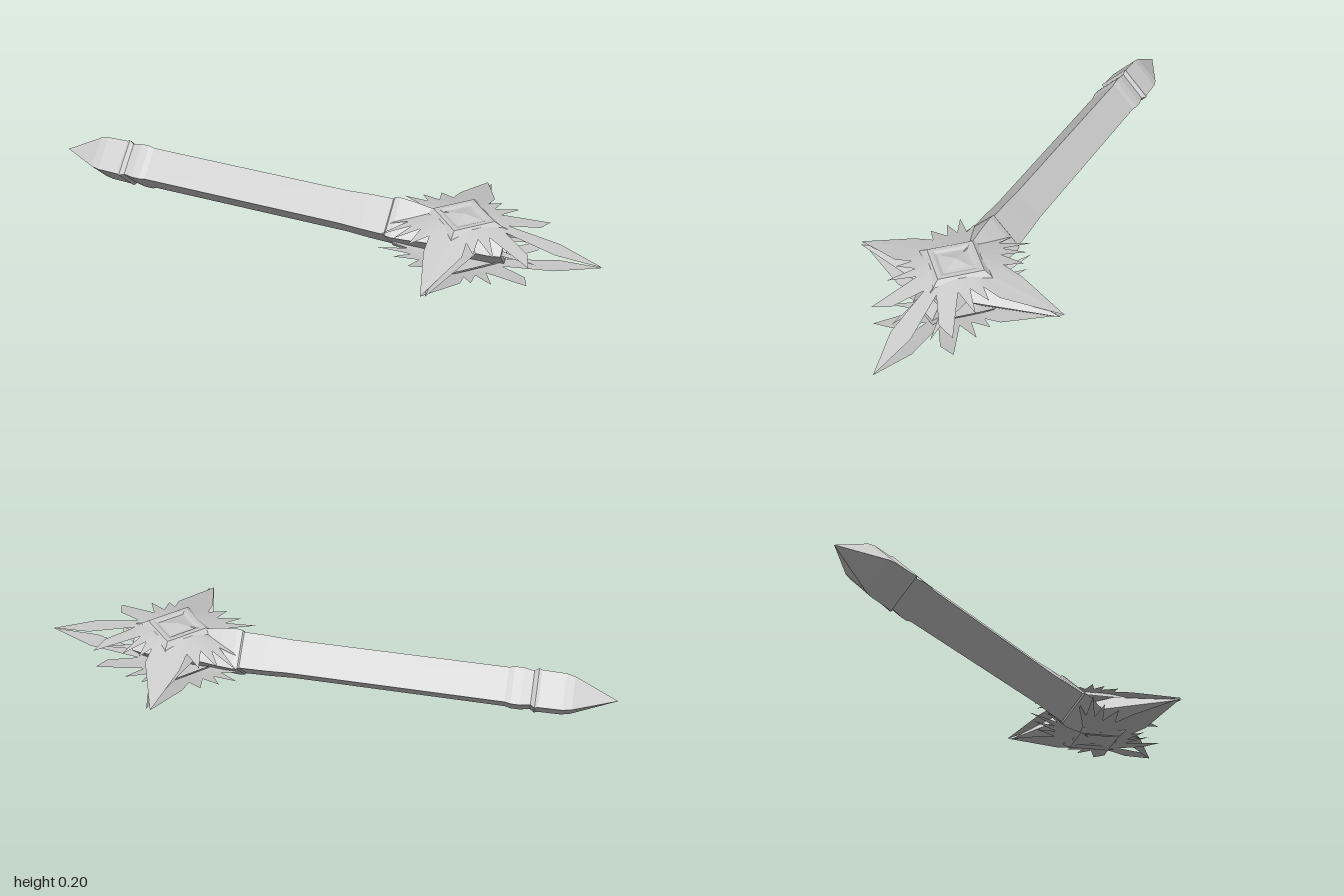
import * as THREE from 'three';

const steel = new THREE.MeshStandardMaterial({ color: 0xcccccc, flatShading: true, side: THREE.DoubleSide });
steel.name = 'pale steel';
const CX = 0.53; // centre of the starburst along the handle

function add(parent, name, geometry) {
  const mesh = new THREE.Mesh(geometry, steel);
  mesh.name = name;
  parent.add(mesh);
  return mesh;
}

// Four-sided lathe; profile is [radius, height]
const diamondLathe = (profile) =>
  new THREE.LatheGeometry(profile.map(([r, h]) => new THREE.Vector2(r, h)), 4);

// Half outline of the starburst, [x, z], from the long tip back to the handle
const halfStar = [
  [1, 0], [0.85, 0.035], [0.68, 0.022], [0.77, 0.085], [0.79, 0.145], [0.64, 0.075],
  [0.68, 0.16], [0.61, 0.1], [0.615, 0.17], [0.58, 0.13], [0.585, 0.19], [0.51, 0.375],
  [0.46, 0.2], [0.455, 0.13], [0.4, 0.175], [0.415, 0.1], [0.34, 0.15], [0.38, 0.085],
  [0.28, 0.135], [0.36, 0.06], [0.3, 0.07], [0.37, 0.0],
];

// Thin star: flat in the middle, arms sloping down to the middle plane
function starGeometry() {
  const outline = [...halfStar, ...halfStar.slice(1, -1).reverse().map(([x, z]) => [x, -z])];
  const pos = [CX, 0.08, 0];
  const index = [];
  const n = outline.length;
  for (const [x, z] of outline) {
    const dx = x - CX;
    const r = Math.hypot(dx, z);
    const reach = 0.37 + 0.1 * Math.max(0, dx / r);
    const k = Math.min(1, 0.085 / r);
    const y = 0.08 * Math.max(0, Math.min(1, 1 - (r - 0.085) / (reach - 0.085)));
    pos.push(CX + dx * k, 0.08, z * k, x, y, z);
  }
  for (let i = 0; i < n; i++) {
    const a = 1 + 2 * i, b = 1 + 2 * ((i + 1) % n);
    index.push(0, b, a, a, b, a + 1, b, b + 1, a + 1);
  }
  const g = new THREE.BufferGeometry();
  g.setAttribute('position', new THREE.Float32BufferAttribute(pos, 3));
  g.setIndex(index);
  g.computeVertexNormals();
  return g;
}

export function createModel() {
  const model = new THREE.Group();
  model.name = 'starMace';
  model.position.y = 0.1;

  // Handle with pointed pommel, rings and a recessed far end
  const handle = diamondLathe([
    [0, -1], [0.08, -0.85], [0.088, -0.82], [0.09, -0.74], [0.095, -0.73], [0.082, -0.715],
    [0.09, -0.68], [0.09, -0.65], [0.084, -0.63], [0.083, 0.12], [0.088, 0.2], [0.09, 0.285],
    [0.097, 0.29], [0.1, 0.31], [0.095, 0.36], [0.085, 0.42], [0.078, 0.64], [0.068, 0.68],
    [0.05, 0.68], [0, 0.6],
  ]);
  handle.rotateZ(-Math.PI / 2);
  add(model, 'handle', handle);

  // Solid side spikes under the star
  for (const s of [1, -1]) {
    const spike = diamondLathe([[0.075, 0], [0.075, 0.085], [0, 0.37]]);
    spike.rotateX(s * Math.PI / 2);
    spike.translate(0.525, 0, 0);
    add(model, s > 0 ? 'frontSpike' : 'backSpike', spike);
  }

  // Star and framed gem, above and below
  for (const s of [1, -1]) {
    const face = new THREE.Group();
    face.name = s > 0 ? 'upperFace' : 'lowerFace';
    face.scale.y = s;
    add(face, 'star', starGeometry());
    add(face, 'gemFrame', diamondLathe([
      [0.14, 0.06], [0.13, 0.073], [0.105, 0.086], [0.085, 0.086], [0.07, 0.081],
    ])).position.x = CX;
    add(face, 'gem', diamondLathe([[0.075, 0.08], [0.055, 0.082], [0, 0.092]])).position.x = CX;
    model.add(face);
  }

  // Small flat thorns in the middle plane
  for (const s of [1, -1]) {
    const thorn = new THREE.ShapeGeometry(new THREE.Shape([
      new THREE.Vector2(0.64, 0.02 * s), new THREE.Vector2(0.66, 0.06 * s), new THREE.Vector2(0.8, 0.07 * s),
    ]));
    thorn.rotateX(Math.PI / 2);
    add(model, s > 0 ? 'frontThorn' : 'backThorn', thorn);
  }

  const root = new THREE.Group();
  root.name = 'model';
  root.add(model);
  return root;
}
